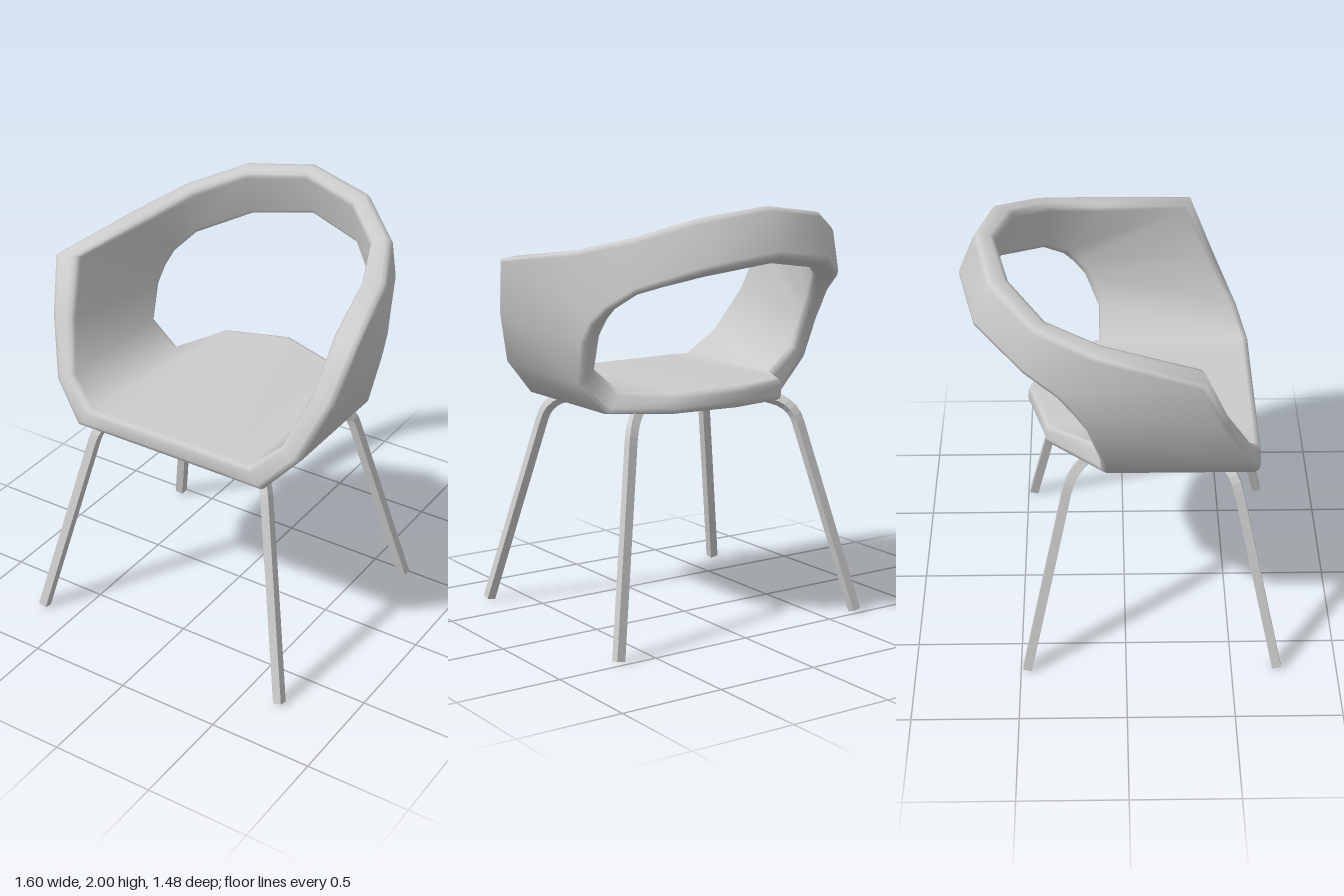
import * as THREE from 'three';

const material = new THREE.MeshStandardMaterial({ color: 0xcccccc, side: THREE.DoubleSide });

// Edge curves of the shell, from the seat centre around one side to the backrest centre
const frontOuter = [[0, 1.045, 0.61], [0.29, 1.045, 0.61], [0.5, 1.045, 0.61], [0.655, 1.215, 0.555], [0.755, 1.475, 0.44],
  [0.805, 1.73, 0.335], [0.69, 1.803, -0.12], [0.56, 1.875, -0.4], [0.33, 1.965, -0.59], [0, 2.01, -0.66]];
const rearOuter = [[0, 1.075, -0.45], [0.3, 1.062, -0.36], [0.5, 1.045, -0.115], [0.64, 1.2, -0.115], [0.66, 1.395, -0.18],
  [0.65, 1.48, -0.24], [0.62, 1.545, -0.31], [0.565, 1.632, -0.45], [0.335, 1.735, -0.67], [0, 1.785, -0.75]];
const rearInner = [[0, 1.178, -0.45], [0.3, 1.168, -0.36], [0.43, 1.15, -0.115], [0.56, 1.26, -0.115], [0.57, 1.425, -0.18],
  [0.56, 1.5, -0.23], [0.54, 1.558, -0.27], [0.48, 1.63, -0.36], [0.29, 1.7, -0.56], [0, 1.745, -0.64]];
const frontInner = [[0, 1.15, 0.61], [0.29, 1.15, 0.61], [0.43, 1.15, 0.61], [0.56, 1.265, 0.555], [0.64, 1.485, 0.435],
  [0.68, 1.745, 0.325], [0.575, 1.803, -0.1], [0.48, 1.865, -0.34], [0.29, 1.945, -0.495], [0, 1.985, -0.565]];

// Four-cornered section with each corner rounded by three points
function roundedSection(corners, r = 0.03) {
  return corners.flatMap((p, k) => {
    const toPrev = corners[(k + 3) % 4].clone().sub(p).normalize().multiplyScalar(r);
    const toNext = corners[(k + 1) % 4].clone().sub(p).normalize().multiplyScalar(r);
    const mid = p.clone().addScaledVector(toPrev, 0.29).addScaledVector(toNext, 0.29);
    return [p.clone().add(toPrev), mid, p.clone().add(toNext)];
  });
}

// Closed loft: seat, sides and backrest in one continuous band
function shellGeometry() {
  const curves = [frontOuter, rearOuter, rearInner, frontInner];
  const half = frontOuter.length;
  const station = (i, sx) =>
    roundedSection(curves.map((c) => new THREE.Vector3(c[i][0] * sx, c[i][1], c[i][2])));
  const sections = [];
  for (let i = 0; i < half; i++) sections.push(station(i, 1));
  for (let i = half - 2; i > 0; i--) sections.push(station(i, -1));

  const n = sections[0].length;
  const index = [];
  for (let s = 0; s < sections.length; s++) {
    const t = (s + 1) % sections.length;
    for (let k = 0; k < n; k++) {
      const m = (k + 1) % n;
      index.push(s * n + k, s * n + m, t * n + k, s * n + m, t * n + m, t * n + k);
    }
  }
  const geometry = new THREE.BufferGeometry().setFromPoints(sections.flat());
  geometry.setIndex(index);
  geometry.computeVertexNormals();
  return geometry;
}

// Square bar swept up the leg, round the bend and in under the seat
function legGeometry() {
  const v = (x, y) => new THREE.Vector3(x, y, 0);
  const path = new THREE.CurvePath();
  path.add(new THREE.LineCurve3(v(0.838, 0.008), v(0.552, 0.93)));
  path.add(new THREE.QuadraticBezierCurve3(v(0.552, 0.93), v(0.524, 1.02), v(0.42, 1.04)));
  path.add(new THREE.LineCurve3(v(0.42, 1.04), v(0.29, 1.075)));
  const r = 0.03;
  const diamond = new THREE.Shape([[r, 0], [0, r], [-r, 0], [0, -r]].map(([x, y]) => new THREE.Vector2(x, y)));
  return new THREE.ExtrudeGeometry(diamond, { steps: 36, extrudePath: path });
}

export function createModel() {
  const chair = new THREE.Group();
  chair.name = 'chair';

  const shell = new THREE.Mesh(shellGeometry(), material);
  shell.name = 'seatShell';
  chair.add(shell);

  // Four legs splayed at 45 degrees, the pairs set apart sideways
  const barGeometry = legGeometry();
  ['backLeftLeg', 'backRightLeg', 'frontRightLeg', 'frontLeftLeg'].forEach((name, k) => {
    const leg = new THREE.Mesh(barGeometry, material);
    leg.name = name;
    leg.rotation.y = Math.PI / 4 + (k * Math.PI) / 2;
    leg.position.set(k === 0 || k === 3 ? 0.085 : -0.085, 0, 0.123);
    chair.add(leg);
  });
  return chair;
}
